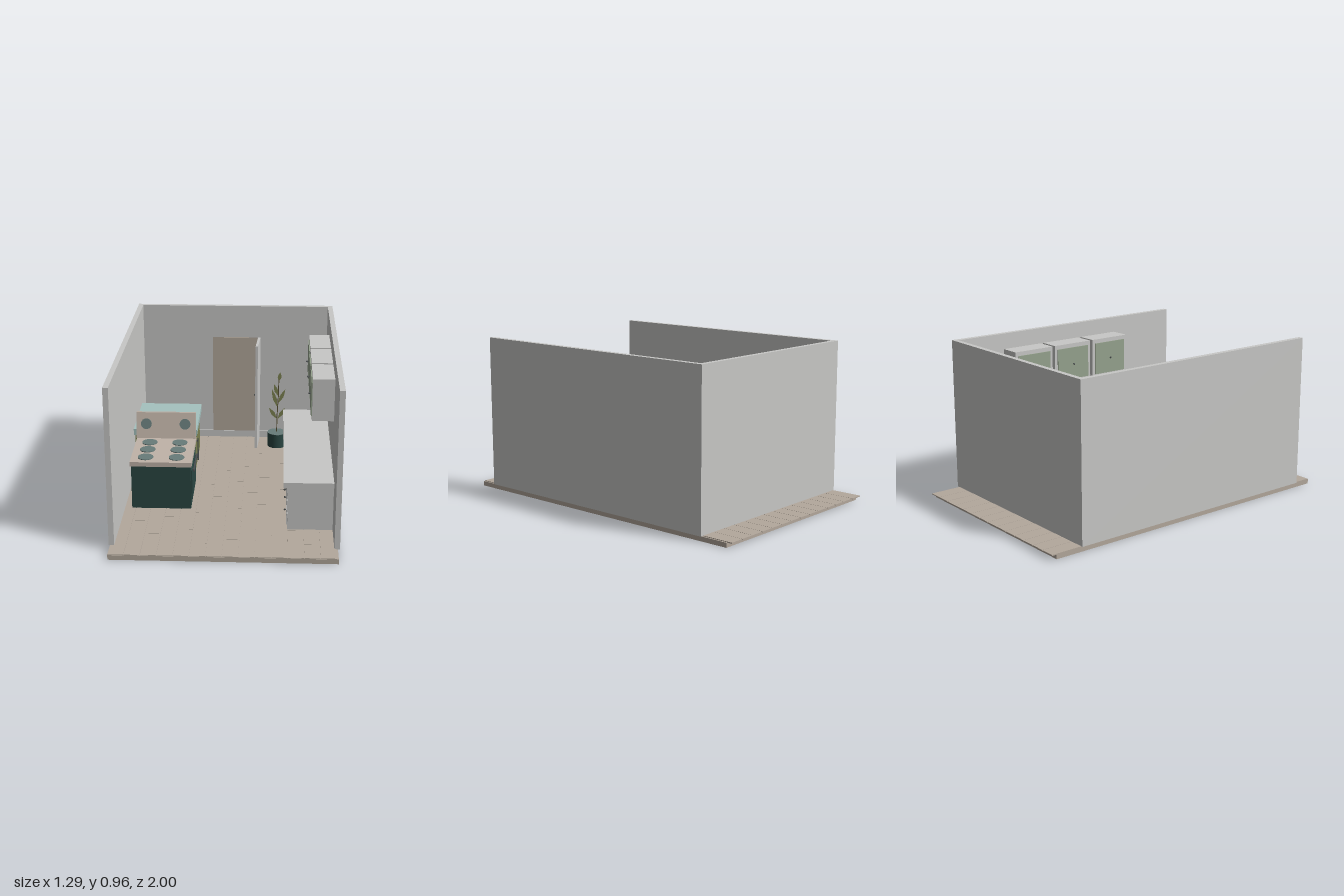
import * as THREE from 'three';

function mat(name, color, side = THREE.FrontSide) {
  const m = new THREE.MeshStandardMaterial({ color, side });
  m.name = name;
  return m;
}

export function createModel() {
  const root = new THREE.Group();
  root.name = 'kitchen';
  const wallGrey = mat('wall grey', 0xc8c8c6);
  const wood = mat('floor wood', 0xb3a89c);
  const tan = mat('stove tan', 0xc0b3a8);
  const teal = mat('burner teal', 0x687c7a);
  const mint = mat('mint worktop', 0xa5c2bf);
  const green = mat('dark green', 0x2a4642);
  const olive = mat('olive', 0x7c8252, THREE.DoubleSide);
  const sage = mat('sage door', 0x96a38e);
  const metal = mat('dark metal', 0x4a4f50);
  const bark = mat('stem brown', 0x5a5236);

  const group = (name) => {
    const g = new THREE.Group();
    g.name = name;
    root.add(g);
    return g;
  };
  const add = (parent, name, geo, m, x = 0, y = 0, z = 0) => {
    const mesh = new THREE.Mesh(geo, m);
    mesh.name = name;
    mesh.position.set(x, y, z);
    parent.add(mesh);
    return mesh;
  };
  // Box given by its limits on each axis
  const box = (parent, name, m, x0, x1, y0, y1, z0, z1) =>
    add(parent, name, new THREE.BoxGeometry(x1 - x0, y1 - y0, z1 - z0), m,
      (x0 + x1) / 2, (y0 + y1) / 2, (z0 + z1) / 2);
  // Knob sticking out towards -x
  const knob = (parent, x, y, z) => {
    add(parent, 'knob', new THREE.SphereGeometry(0.006, 12, 8), metal, x - 0.009, y, z);
    add(parent, 'knobStem', new THREE.CylinderGeometry(0.003, 0.003, 0.01, 8), metal, x - 0.004, y, z)
      .rotation.z = Math.PI / 2;
  };

  // Floor slab with staggered planks
  const floor = group('floor');
  box(floor, 'floorSlab', wood, -0.635, 0.632, 0, 0.028, -0.97, 1);
  for (let i = 0; i < 14; i++) {
    const x0 = -0.635 + i * 0.09;
    const cuts = [-1];
    for (let z = -0.8 + (i * 0.17) % 0.4; z < 0.9; z += 0.4) cuts.push(z);
    cuts.push(1);
    for (let k = 0; k < cuts.length - 1; k++) {
      box(floor, 'plank', wood, x0, x0 + 0.0875, 0.026, 0.032, cuts[k], cuts[k + 1] - 0.0025);
    }
  }

  // Walls and skirting
  const walls = group('walls');
  for (const s of [-1, 1]) {
    const a = s * 0.612, b = s * 0.643;
    box(walls, 'sideWall', wallGrey, Math.min(a, b), Math.max(a, b), 0.03, 0.96, -0.805, 0.885);
  }
  box(walls, 'backWall', wallGrey, -0.612, 0.612, 0.03, 0.96, -0.805, -0.775);
  box(walls, 'skirting', wallGrey, -0.612, 0.612, 0.03, 0.077, -0.775, -0.765);

  // Doorway with a door standing open
  const doorway = group('doorway');
  box(doorway, 'doorwayPanel', wood, -0.15, 0.15, 0.077, 0.745, -0.775, -0.768);
  const leaf = new THREE.Shape([[0.153, 0.768], [0.17, 0.768], [0.156, 0.565], [0.14, 0.565]]
    .map(([x, y]) => new THREE.Vector2(x, y)));
  const leafGeo = new THREE.ExtrudeGeometry(leaf, { depth: 0.715, bevelEnabled: false });
  leafGeo.rotateX(-Math.PI / 2);
  add(doorway, 'doorLeaf', leafGeo, wallGrey, 0, 0.03, 0);
  knob(doorway, 0.145, 0.383, -0.645);

  // Stove
  const stove = group('stove');
  box(stove, 'stoveBody', green, -0.57, -0.218, 0.03, 0.302, 0.0, 0.4);
  box(stove, 'stoveTop', tan, -0.577, -0.212, 0.302, 0.33, 0.0, 0.407);
  for (const x of [-0.49, -0.306]) {
    for (const z of [0.098, 0.212, 0.33]) {
      add(stove, 'burner', new THREE.CylinderGeometry(0.046, 0.046, 0.006, 32), teal, x, 0.332, z);
    }
  }
  const panel = new THREE.Shape([[0.015, 0.33], [0.058, 0.343], [0.025, 0.5], [-0.018, 0.49]]
    .map(([z, y]) => new THREE.Vector2(-z, y)));
  const panelGeo = new THREE.ExtrudeGeometry(panel, { depth: 0.365, bevelEnabled: false });
  panelGeo.rotateY(-Math.PI / 2);
  panelGeo.scale(1, 1, 1);
  // Turned so the sloping face looks to the front
  panelGeo.translate(0.365 / 2, 0, 0);
  panelGeo.rotateY(Math.PI);
  add(stove, 'controlPanel', panelGeo, tan, -0.3945);
  for (const x of [-0.515, -0.277]) {
    const dial = add(stove, 'dial', new THREE.CylinderGeometry(0.033, 0.033, 0.008, 32), teal, x, 0.431, 0.0405);
    dial.rotation.x = Math.PI / 2 - Math.atan2(0.033, 0.157);
  }
  box(stove, 'ovenDoor', green, -0.22, -0.211, 0.08, 0.27, 0.075, 0.375);
  box(stove, 'ovenHandle', metal, -0.206, -0.197, 0.255, 0.267, 0.108, 0.355);
  for (const z of [0.125, 0.335]) box(stove, 'handlePost', metal, -0.212, -0.2, 0.257, 0.265, z, z + 0.008);

  // Olive cabinet with mint worktop
  const cabinet = group('oliveCabinet');
  box(cabinet, 'cabinetBody', olive, -0.605, -0.235, 0.03, 0.302, -0.545, -0.11);
  box(cabinet, 'worktop', mint, -0.613, -0.215, 0.302, 0.342, -0.565, -0.092);
  for (const [z0, z1] of [[-0.54, -0.33], [-0.325, -0.115]]) {
    box(cabinet, 'cabinetDoor', olive, -0.236, -0.228, 0.045, 0.295, z0, z1);
  }
  box(cabinet, 'cabinetHandle', metal, -0.219, -0.211, 0.1, 0.25, -0.19, -0.181);
  for (const y of [0.115, 0.228]) box(cabinet, 'handlePost', metal, -0.229, -0.214, y, y + 0.007, -0.189, -0.182);

  // Long drawer unit along the other wall
  const drawers = group('drawerUnit');
  box(drawers, 'unitBody', wallGrey, 0.352, 0.612, 0.03, 0.302, -0.49, 0.65);
  box(drawers, 'countertop', wallGrey, 0.327, 0.612, 0.302, 0.332, -0.51, 0.672);
  for (let c = 0; c < 4; c++) {
    const z0 = -0.475 + c * 0.28;
    for (const [y0, y1] of [[0.05, 0.118], [0.13, 0.198], [0.21, 0.285]]) {
      box(drawers, 'drawerFront', wallGrey, 0.346, 0.353, y0, y1, z0, z0 + 0.26);
      knob(drawers, 0.347, (y0 + y1) / 2, z0 + 0.13);
    }
  }

  // Three wall cupboards
  const cupboards = group('wallCupboards');
  for (const z0 of [-0.455, -0.158, 0.14]) {
    box(cupboards, 'cupboard', wallGrey, 0.485, 0.612, 0.61, 0.862, z0, z0 + 0.278);
    box(cupboards, 'cupboardDoor', sage, 0.479, 0.486, 0.633, 0.836, z0 + 0.02, z0 + 0.258);
    knob(cupboards, 0.48, 0.73, z0 + 0.139);
  }

  // Potted plant
  const plant = group('plant');
  plant.position.set(0.286, 0, -0.625);
  add(plant, 'pot', new THREE.CylinderGeometry(0.061, 0.061, 0.096, 32), green, 0, 0.078, 0);
  add(plant, 'soil', new THREE.CylinderGeometry(0.061, 0.061, 0.003, 32), teal, 0, 0.127, 0);
  const stem = new THREE.CatmullRomCurve3([[0, 0.12], [0.002, 0.25], [0.008, 0.38], [0.01, 0.5]]
    .map(([x, y]) => new THREE.Vector3(x, y, 0)));
  add(plant, 'stem', new THREE.TubeGeometry(stem, 12, 0.0035, 6), bark);
  const leaves = [[0.006, 0.22, 0.054, 0.3], [0.008, 0.335, 0.054, 0.432], [0.01, 0.485, 0.019, 0.55],
    [0.002, 0.22, -0.055, 0.302], [0.004, 0.3, -0.036, 0.432], [0.006, 0.385, -0.021, 0.467]];
  // Flat pointed leaf from its base to its tip
  leaves.forEach(([x0, y0, x1, y1], i) => {
    const dx = x1 - x0, dy = y1 - y0, l = Math.hypot(dx, dy), w = 0.013;
    const s = new THREE.Shape();
    s.moveTo(0, 0);
    s.lineTo(w, l * 0.45);
    s.lineTo(w * 0.7, l * 0.7);
    s.lineTo(0, l);
    s.lineTo(-w * 0.7, l * 0.7);
    s.lineTo(-w, l * 0.45);
    const m = add(plant, 'leaf', new THREE.ShapeGeometry(s), olive, x0, y0, i % 2 ? 0.003 : -0.003);
    m.rotation.z = -Math.atan2(dx, dy);
  });
  return root;
}
